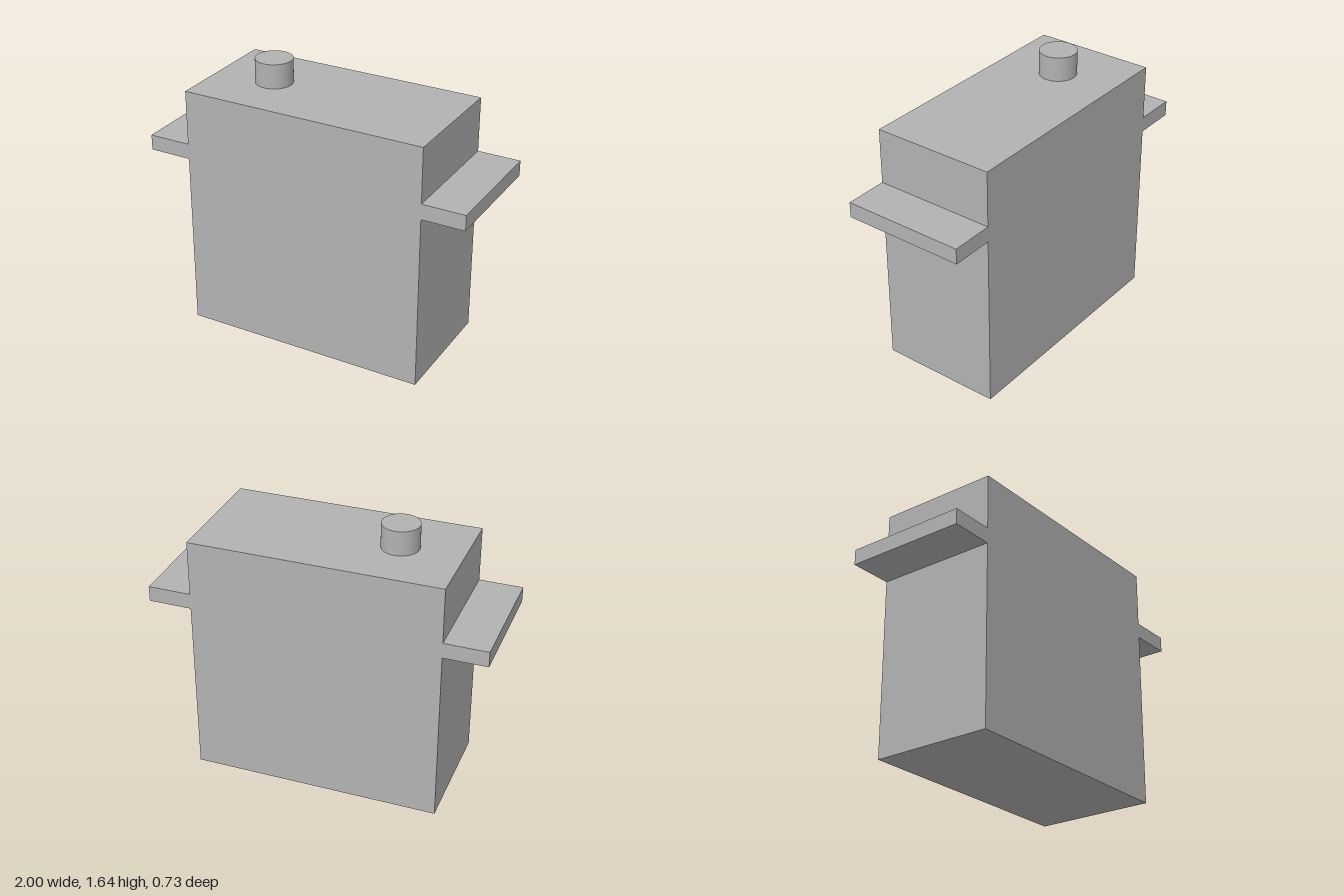
import * as THREE from 'three';

export function createModel() {
  const model = new THREE.Group();
  model.name = 'servoMotor';
  const grey = new THREE.MeshStandardMaterial({ name: 'grey', color: 0xb2b2b2 });

  const add = (name, geometry, x, y) => {
    const mesh = new THREE.Mesh(geometry, grey);
    mesh.name = name;
    mesh.position.set(x, y, 0);
    model.add(mesh);
  };

  const bodyWidth = 1.484, bodyHeight = 1.49, depth = 0.734;
  const tabWidth = 1 - bodyWidth / 2, tabBottom = 1.067, tabTop = 1.16;
  const shaftHeight = 0.146;

  // Main housing
  add('body', new THREE.BoxGeometry(bodyWidth, bodyHeight, depth), 0, bodyHeight / 2);

  // Mounting tabs, mirrored on both sides
  for (const side of [-1, 1]) {
    add(side > 0 ? 'leftTab' : 'rightTab',
      new THREE.BoxGeometry(tabWidth, tabTop - tabBottom, depth),
      side * (1 - tabWidth / 2), (tabTop + tabBottom) / 2);
  }

  // Output shaft, offset toward the right
  add('shaft', new THREE.CylinderGeometry(0.11, 0.11, shaftHeight, 48),
    -0.378, bodyHeight + shaftHeight / 2);

  return model;
}
